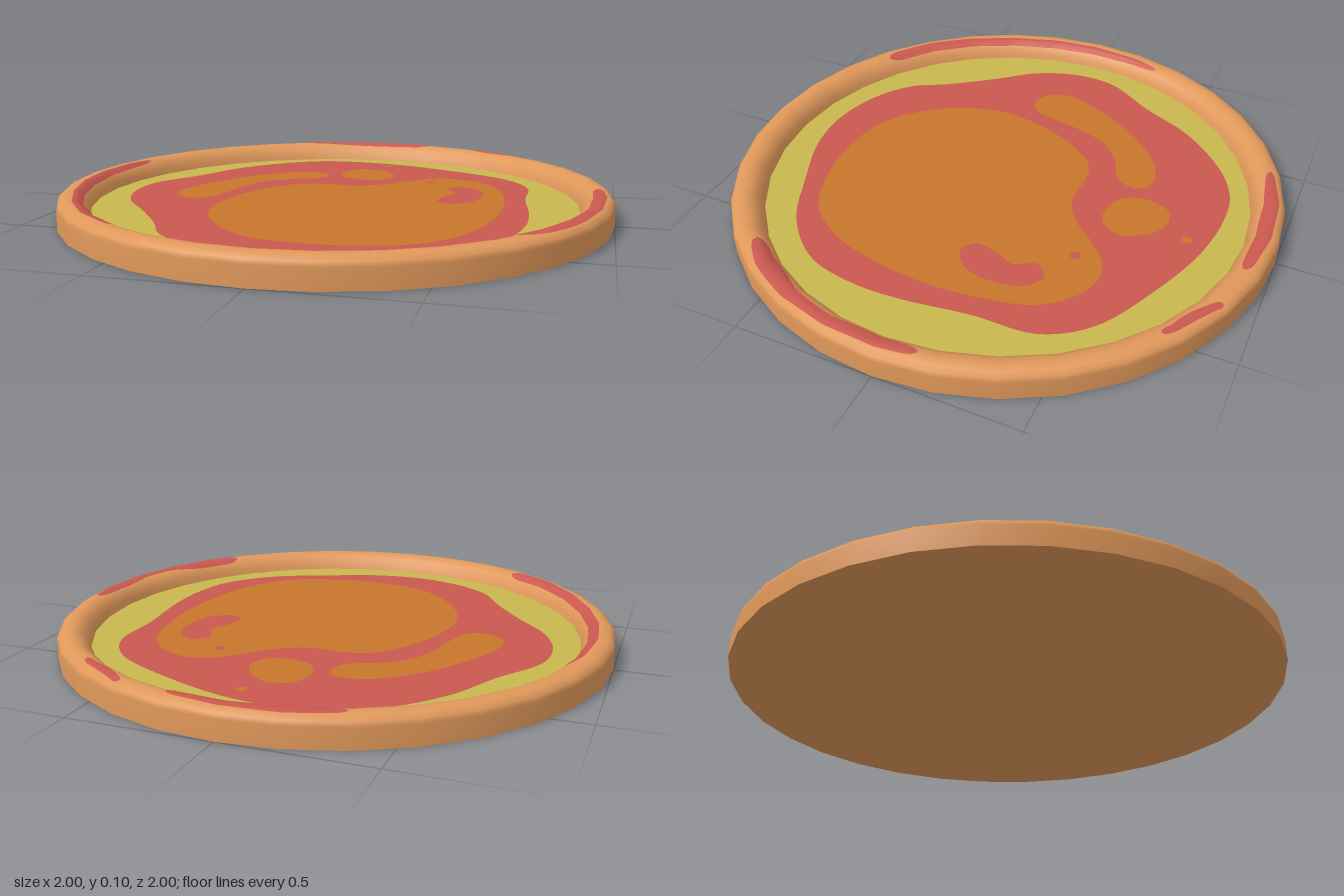
import * as THREE from 'three';

const SIDES = 32;
const FLOOR = 0.037;
// crust cross-section [radius, height], outer foot to inner foot
const PROFILE = [[1, 0], [1, 0.07], [0.995, 0.085], [0.98, 0.097], [0.955, 0.102], [0.93, 0.098], [0.908, 0.083], [0.892, 0.06], [0.883, 0.03]];

const mat = (name, color, side = THREE.FrontSide) => {
  const m = new THREE.MeshStandardMaterial({ color, side });
  m.name = name;
  return m;
};

function crustHeight(r) {
  for (let i = 1; i < PROFILE.length - 1; i++) {
    const [r0, y0] = PROFILE[i], [r1, y1] = PROFILE[i + 1];
    if (r <= r0 && r >= r1) return y0 + (y1 - y0) * (r0 - r) / (r0 - r1);
  }
  return 0.03;
}

// flat smooth-edged patch through [x, z] points
function patch(points, y) {
  const curve = new THREE.CatmullRomCurve3(points.map(([x, z]) => new THREE.Vector3(x, -z, 0)), true);
  const outline = curve.getPoints(points.length * 6).slice(0, -1).map(p => new THREE.Vector2(p.x, p.y));
  return new THREE.ShapeGeometry(new THREE.Shape(outline)).rotateX(-Math.PI / 2).translate(0, y, 0);
}

// thin smear draped over the crust, through [degrees, radius, halfWidth] stations
function smear(stations) {
  const curve = new THREE.CatmullRomCurve3(stations.map(s => new THREE.Vector3(...s)));
  const n = 60, m = 6, pos = [], index = [];
  const step = Math.PI * 2 / SIDES;
  for (let i = 0; i <= n; i++) {
    const p = curve.getPoint(i / n);
    const a = p.x * Math.PI / 180;
    const off = a - (Math.floor(a / step) + 0.5) * step;
    const k = Math.cos(step / 2) / Math.cos(off);
    const end = Math.min(i, n - i) / 5;
    const w = p.z * (end < 1 ? Math.sqrt(1 - (1 - end) ** 2) : 1);
    for (let j = 0; j <= m; j++) {
      const r = p.y + w * (2 * j / m - 1);
      pos.push(r * k * Math.cos(a), crustHeight(r) + 0.003, r * k * Math.sin(a));
      if (i < n && j < m) {
        const q = i * (m + 1) + j;
        index.push(q, q + m + 1, q + 1, q + 1, q + m + 1, q + m + 2);
      }
    }
  }
  const g = new THREE.BufferGeometry();
  g.setAttribute('position', new THREE.Float32BufferAttribute(pos, 3));
  // stations run with rising angle, so reverse to face upward
  g.setIndex(index);
  g.computeVertexNormals();
  if (g.attributes.normal.getY(n / 2 * (m + 1) + 3) < 0) {
    g.setIndex(index.reverse());
    g.computeVertexNormals();
  }
  return g;
}

export function createModel() {
  const group = new THREE.Group();
  const crustMat = mat('baked crust', 0xe0985a);
  const cheeseMat = mat('yellow cheese', 0xc8b74e);
  const sauceMat = mat('red sauce', 0xc9584f);
  const orangeMat = mat('orange topping', 0xc6762a);
  const add = (name, geometry, material) => {
    const mesh = new THREE.Mesh(geometry, material);
    mesh.name = name;
    group.add(mesh);
  };

  // crust ring and underside
  add('crust', new THREE.LatheGeometry(PROFILE.map(p => new THREE.Vector2(...p)), SIDES), crustMat);
  add('underside', new THREE.CircleGeometry(1, SIDES).rotateX(Math.PI / 2), crustMat);

  // cheese floor
  add('cheese', new THREE.CircleGeometry(0.886, SIDES).rotateX(-Math.PI / 2).translate(0, FLOOR, 0), cheeseMat);

  // sauce pool
  add('sauce', patch([
    [-0.13, -0.79], [0.09, -0.765], [0.33, -0.68], [0.57, -0.55], [0.67, -0.4], [0.68, -0.18],
    [0.71, 0.06], [0.71, 0.24], [0.66, 0.43], [0.51, 0.59], [0.3, 0.69], [0.09, 0.77],
    [-0.1, 0.785], [-0.29, 0.73], [-0.42, 0.635], [-0.5, 0.5], [-0.62, 0.335], [-0.735, 0.19],
    [-0.79, 0.03], [-0.78, -0.13], [-0.665, -0.32], [-0.56, -0.52], [-0.4, -0.69], [-0.26, -0.77],
  ], FLOOR + 0.003), sauceMat);

  // orange patches
  const orangeY = FLOOR + 0.006;
  add('largeTopping', patch([
    [-0.4, 0.2], [-0.375, 0.03], [-0.305, -0.13], [-0.21, -0.24], [-0.12, -0.262], [0.005, -0.26],
    [0.11, -0.31], [0.2, -0.405], [0.285, -0.475], [0.37, -0.49], [0.47, -0.45], [0.56, -0.345],
    [0.6, -0.185], [0.615, 0], [0.595, 0.2], [0.535, 0.405], [0.42, 0.555], [0.25, 0.625],
    [0.05, 0.645], [-0.13, 0.61], [-0.27, 0.5], [-0.365, 0.35],
  ], orangeY), orangeMat);
  add('curvedTopping', patch([
    [-0.145, -0.425], [-0.16, -0.48], [-0.225, -0.495], [-0.315, -0.465], [-0.425, -0.37], [-0.515, -0.25],
    [-0.59, -0.105], [-0.62, 0], [-0.6, 0.07], [-0.535, 0.11], [-0.465, 0.08], [-0.435, -0.015],
    [-0.41, -0.13], [-0.36, -0.25], [-0.27, -0.325], [-0.18, -0.365],
  ], orangeY), orangeMat);
  add('roundTopping', patch([
    [0.005, -0.615], [0.075, -0.575], [0.125, -0.48], [0.085, -0.405],
    [0.01, -0.39], [-0.07, -0.425], [-0.1, -0.505], [-0.07, -0.595],
  ], orangeY), orangeMat);
  const dot = (x, z, y) => new THREE.CircleGeometry(0.019, 16).rotateX(-Math.PI / 2).translate(x, y, z);
  add('toppingDot', dot(0.055, -0.7, orangeY), orangeMat);

  // sauce spots on the large patch
  add('sauceSpot', patch([
    [0.43, -0.325], [0.49, -0.29], [0.52, -0.185], [0.495, -0.065], [0.42, -0.015],
    [0.37, -0.05], [0.385, -0.13], [0.415, -0.205], [0.38, -0.275],
  ], orangeY + 0.003), sauceMat);
  add('sauceDot', dot(0.29, -0.38, orangeY + 0.003), sauceMat);

  // sauce smears on the crust
  [
    [[247.5, 0.957, 0.014], [258, 0.95, 0.026], [270, 0.945, 0.026], [281.5, 0.945, 0.018]],
    [[292, 0.972, 0.012], [299, 0.955, 0.018], [306.5, 0.955, 0.012]],
    [[122.5, 0.928, 0.022], [135, 0.932, 0.022], [155, 0.925, 0.018], [175, 0.925, 0.018], [198.5, 0.925, 0.012]],
    [[-8, 0.95, 0.018], [2, 0.947, 0.024], [18, 0.955, 0.022], [30, 0.945, 0.035], [41, 0.935, 0.025]],
  ].forEach((s, i) => add('crustSmear' + (i + 1), smear(s), sauceMat));

  return group;
}
